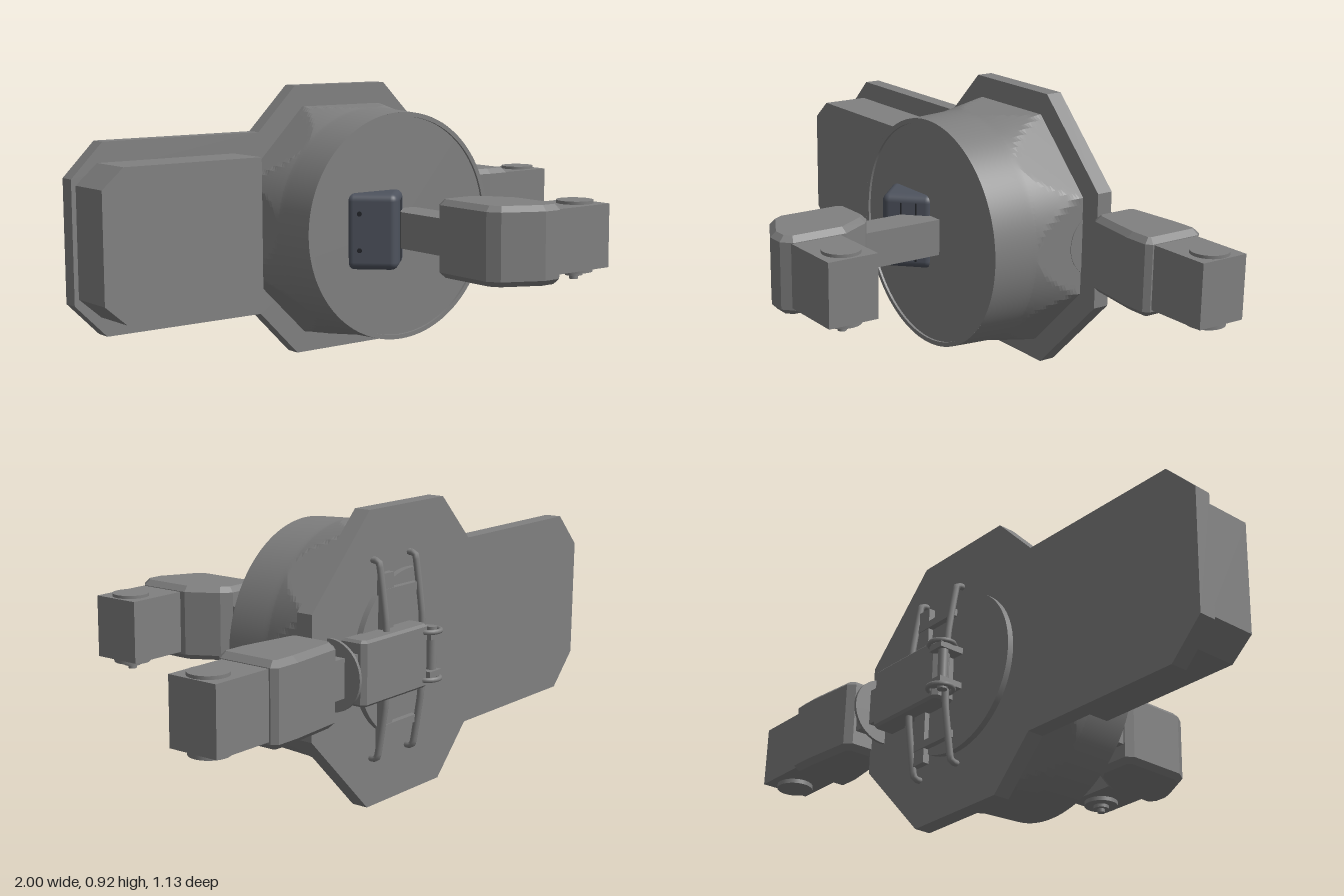
import * as THREE from 'three';
import { toCreasedNormals } from 'three/addons/utils/BufferGeometryUtils.js';
import { RoundedBoxGeometry } from 'three/addons/geometries/RoundedBoxGeometry.js';

const mat = (name, color) => Object.assign(new THREE.MeshStandardMaterial({ color }), { name });
const CX = 0.03, CY = 0.46;

export function createModel() {
  const grey = mat('grey', 0x808080);
  const slate = mat('slate', 0x4e535e);
  const dark = mat('dark', 0x24262b);
  const root = new THREE.Group();

  const add = (parent, name, geo, x = 0, y = 0, z = 0, m = grey) => {
    const mesh = new THREE.Mesh(geo, m);
    mesh.name = name;
    mesh.position.set(x, y, z);
    parent.add(mesh);
    return mesh;
  };
  // box from its limits
  const box = (parent, name, x0, x1, y0, y1, z0, z1) =>
    add(parent, name, new THREE.BoxGeometry(x1 - x0, y1 - y0, z1 - z0), (x0 + x1) / 2, (y0 + y1) / 2, (z0 + z1) / 2);
  const shapeOf = (pts) => new THREE.Shape(pts.map(([a, b]) => new THREE.Vector2(a, b)));
  // front outline (x, y) pushed along z
  const slab = (name, pts, z0, z1) =>
    add(root, name, new THREE.ExtrudeGeometry(shapeOf(pts), { depth: z1 - z0, bevelEnabled: false }), 0, 0, z0);
  // plan outline (x, z) pushed along y, with chamfered rims
  const block = (parent, name, pts, y0, y1, b) => {
    const geo = new THREE.ExtrudeGeometry(shapeOf(pts), {
      depth: y1 - y0 - 2 * b, bevelThickness: b, bevelSize: b, bevelOffset: -b, bevelSegments: 1,
    });
    geo.rotateX(Math.PI / 2);
    return add(parent, name, geo, 0, y1 - b, 0);
  };

  // Back plate and side box
  slab('backPlate', [[-0.16, 0.92], [0.22, 0.92], [0.49, 0.65], [0.49, 0.27], [0.22, 0], [-0.16, 0],
    [-0.31, 0.155], [-0.89, 0.155], [-1, 0.265], [-1, 0.66], [-0.89, 0.77], [-0.31, 0.77]], -0.445, -0.39);
  slab('sideBox', [[-0.41, 0.22], [-0.41, 0.705], [-0.91, 0.705], [-0.985, 0.64], [-0.985, 0.285], [-0.91, 0.22]], -0.39, -0.225);

  // Drum: a flaring cone trimmed by eight flat sides
  const zBack = -0.39, zFront = -0.055;
  const drum = new THREE.CylinderGeometry(1, 1, zFront - zBack, 128, 30, true);
  drum.rotateX(Math.PI / 2);
  const p = drum.attributes.position;
  for (let i = 0; i < p.count; i++) {
    const x = p.getX(i), y = p.getY(i), z = p.getZ(i) + (zFront + zBack) / 2;
    const a = Math.atan2(y, x), step = Math.PI / 4;
    const d = a - Math.round(a / step) * step;
    const cone = z > -0.21 ? 0.38 + (zFront - z) * 0.05 : 0.388 + (-0.21 - z) * 0.19;
    const r = Math.min(cone, 0.388 / Math.cos(d));
    p.setXYZ(i, CX + r * Math.cos(a), CY + r * Math.sin(a), z);
  }
  add(root, 'drum', toCreasedNormals(drum, 0.1));
  const lip = new THREE.LatheGeometry([[0.365, -0.01], [0.365, 0], [0.38, 0]]
    .map(([r, h]) => new THREE.Vector2(r, h)), 96);
  lip.rotateX(Math.PI / 2);
  const lipMesh = add(root, 'drumLip', toCreasedNormals(lip, 0.5), CX, CY, zFront);
  lipMesh.material = grey;
  grey.side = THREE.DoubleSide;
  add(root, 'drumFace', new THREE.CircleGeometry(0.37, 96), CX, CY, zFront - 0.008);

  // Arm tip with pivot caps above and below
  const armTip = (parent, x0, x1, zc, px) => {
    box(parent, 'armTip', x0, x1, 0.36, 0.565, zc - 0.085, zc + 0.085);
    add(parent, 'pivotCap', new THREE.CylinderGeometry(0.06, 0.06, 0.23, 40), px, CY, zc);
  };

  // Front arm
  const front = new THREE.Group();
  front.name = 'frontArm';
  root.add(front);
  box(front, 'armLink', -0.03, 0.09, 0.4, 0.52, -0.07, 0.23);
  block(front, 'elbow', [[-0.055, 0.24], [-0.035, 0.215], [0.09, 0.215], [0.125, 0.24], [0.185, 0.345], [0.185, 0.53],
    [0.155, 0.56], [0.095, 0.56], [-0.03, 0.495], [-0.055, 0.455]], 0.335, 0.585, 0.018);
  armTip(front, 0.17, 0.4, 0.45, 0.33);
  add(front, 'pivotCollar', new THREE.CylinderGeometry(0.028, 0.028, 0.015, 24), 0.33, 0.34, 0.45);
  add(front, 'pivotNub', new THREE.CylinderGeometry(0.014, 0.014, 0.03, 24), 0.33, 0.335, 0.45);

  // Side arm
  const side = new THREE.Group();
  side.name = 'sideArm';
  root.add(side);
  box(side, 'armLink', 0.33, 0.5, 0.4, 0.52, -0.51, -0.4);
  block(side, 'elbow', [[0.483, -0.52], [0.505, -0.542], [0.69, -0.558], [0.77, -0.558], [0.785, -0.54], [0.785, -0.36],
    [0.77, -0.342], [0.69, -0.342], [0.505, -0.37], [0.483, -0.39]], 0.335, 0.585, 0.018);
  armTip(side, 0.77, 0.995, -0.45, 0.93);
  add(side, 'linkFlange', new THREE.CylinderGeometry(0.11, 0.11, 0.01, 40), 0.415, CY, -0.455).rotation.z = Math.PI / 2;

  // Camera turned a quarter of the way to the side
  const cam = new THREE.Group();
  cam.name = 'cornerCamera';
  cam.position.set(-0.075, CY, -0.065);
  cam.rotation.y = -Math.PI / 4;
  root.add(cam);
  add(cam, 'cameraBody', new RoundedBoxGeometry(0.17, 0.25, 0.17, 4, 0.025), 0, 0, 0, slate);
  for (const y of [-0.06, 0.06]) {
    const hole = add(cam, 'cameraHole', new THREE.CylinderGeometry(0.008, 0.008, 0.004, 16), -0.04, y, 0.085, dark);
    hole.rotation.x = Math.PI / 2;
  }
  for (const z of [0.02, -0.03])
    add(cam, 'cameraSeam', new THREE.BoxGeometry(0.003, 0.2, 0.006), 0.085, 0, z, dark);

  // Rear mount: disc, housing and bracket
  const rear = new THREE.Group();
  rear.name = 'rearMount';
  root.add(rear);
  add(rear, 'mountDisc', new THREE.CylinderGeometry(0.265, 0.265, 0.02, 64), CX, CY, -0.455).rotation.x = Math.PI / 2;
  block(rear, 'housing', [[0.03, -0.45], [0.03, -0.52], [0.045, -0.535], [0.345, -0.535], [0.358, -0.52], [0.358, -0.45]],
    0.36, 0.56, 0.008);
  box(rear, 'bracketPlate', 0.145, 0.2, 0.19, 0.73, -0.482, -0.46);
  for (const x of [0.02, 0.205]) {
    const path = new THREE.CatmullRomCurve3([[0.77, -0.445], [0.76, -0.472], [0.59, -0.498], [0.46, -0.503],
      [0.33, -0.498], [0.165, -0.472], [0.155, -0.445]].map(([y, z]) => new THREE.Vector3(x, y, z)), false, 'catmullrom', 0.2);
    add(rear, 'bracketRod', new THREE.TubeGeometry(path, 48, 0.011, 8));
  }
  for (const s of [-1, 1])
    box(rear, 'bracketStrut', 0.02, 0.2, CY + s * 0.21 - 0.012, CY + s * 0.21 + 0.012, -0.485, -0.465);
  // Hinge clips at the end of the housing
  for (const s of [-1, 1]) {
    box(rear, 'hingeEar', -0.015, 0.045, CY + s * 0.06 - 0.01, CY + s * 0.06 + 0.01, -0.55, -0.46);
    add(rear, 'hingeRing', new THREE.TorusGeometry(0.04, 0.008, 8, 24), 0.02, CY + s * 0.075, -0.52).rotation.x = Math.PI / 2;
  }
  add(rear, 'hingePin', new THREE.CylinderGeometry(0.016, 0.016, 0.17, 20), 0.005, CY, -0.525);
  return root;
}
